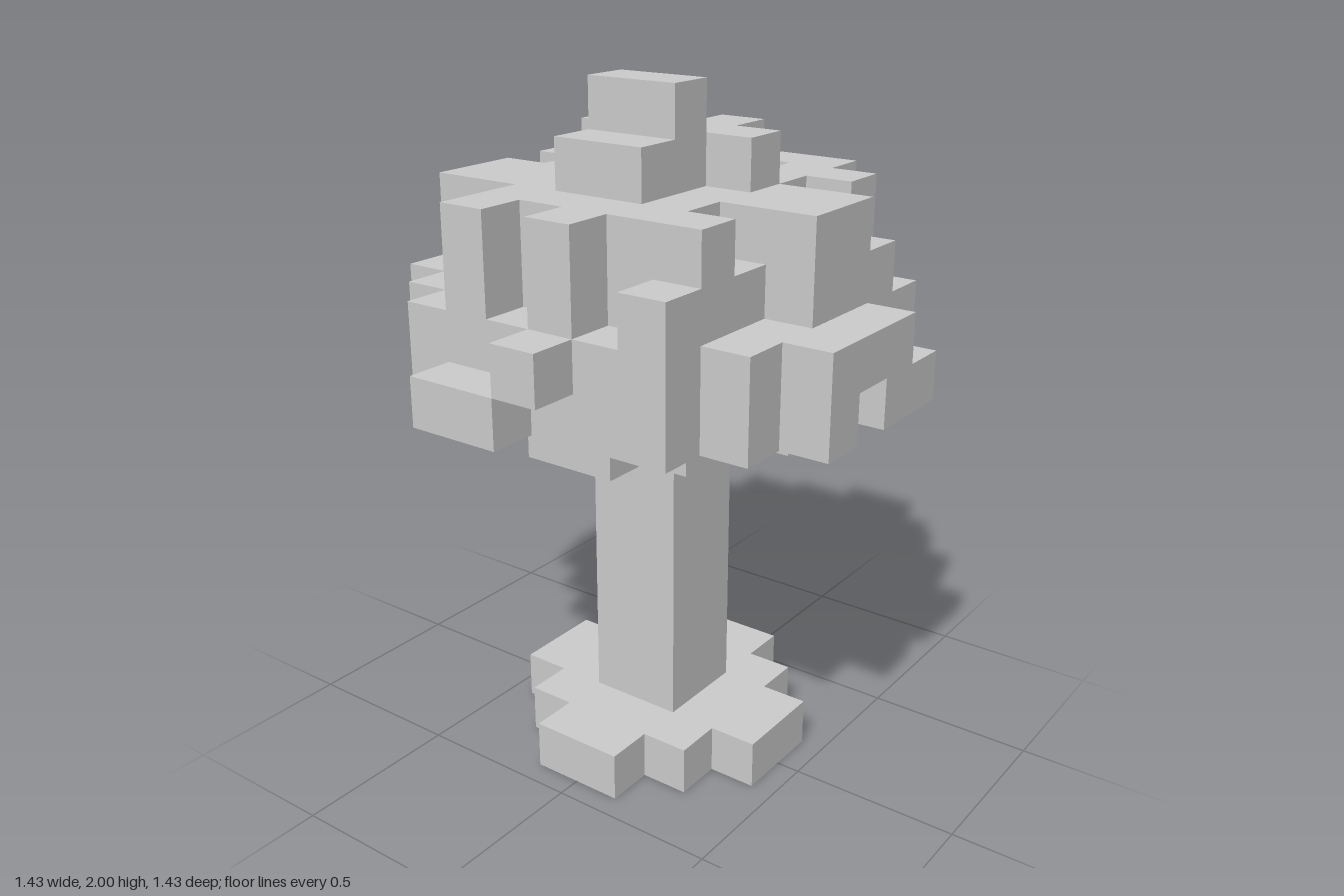
import * as THREE from 'three';

const U = 1 / 7; // edge of one block

// Plans of each layer: rows run from back (-z) to front (+z), columns from -x to +x
const base = [
  '', '', '....##....', '...####...', '..######..',
  '..######..', '...####...', '....##....', '', ''];

const trunk = ['', '', '', '', '....##....', '....##....', '', '', '', ''];

const canopy = [
  ['', '', '....##....', '...#####..', '..######..',
    '..#####...', '...###....', '.....##...', '', ''],
  ['...##.#...', '..######..', '.########.', '#########.', '##########',
    '.########.', '.#########', '.########.', '..######..', '...#.##...'],
  ['...#.##...', '..######..', '.#######..', '.#########', '.#########',
    '#########.', '.########.', '.########.', '..######..', '...###....'],
  ['', '...####...', '..######..', '.#######..', '..#######.',
    '.########.', '..#######.', '.#######..', '....###...', ''],
  ['', '...##.#...', '...#####..', '.#######..', '..######..',
    '.######.#.', '..#######.', '..#.##.#..', '....##....', ''],
  ['', '', '', '.....##...', '...###....',
    '...####...', '.....#....', '', '', ''],
  ['', '', '', '', '....#.....', '....#.....', '', '', '', '']];

// Builds the outer skin of a stack of layer plans
function blocks(name, layers, bottom, material) {
  const filled = (x, y, z) => layers[y]?.[z]?.[x] === '#';
  const pos = [], nor = [];
  const addFace = (c, axis, sign) => {
    const a = (axis + 1) % 3, b = (axis + 2) % 3;
    const corners = [[0, 0], [1, 0], [1, 1], [0, 1]].map(([s, t]) => {
      const p = [...c];
      p[axis] += sign > 0 ? 1 : 0;
      p[a] += s;
      p[b] += t;
      return [(p[0] - 5) * U, (p[1] + bottom) * U, (p[2] - 5) * U];
    });
    const n = [0, 0, 0];
    n[axis] = sign;
    for (const i of sign > 0 ? [0, 1, 2, 0, 2, 3] : [0, 2, 1, 0, 3, 2]) {
      pos.push(...corners[i]);
      nor.push(...n);
    }
  };
  for (let y = 0; y < layers.length; y++)
    for (let z = 0; z < 10; z++)
      for (let x = 0; x < 10; x++) {
        if (!filled(x, y, z)) continue;
        for (let axis = 0; axis < 3; axis++)
          for (const sign of [-1, 1]) {
            const n = [x, y, z];
            n[axis] += sign;
            if (!filled(...n)) addFace([x, y, z], axis, sign);
          }
      }
  const geo = new THREE.BufferGeometry();
  geo.setAttribute('position', new THREE.Float32BufferAttribute(pos, 3));
  geo.setAttribute('normal', new THREE.Float32BufferAttribute(nor, 3));
  const mesh = new THREE.Mesh(geo, material);
  mesh.name = name;
  return mesh;
}

export function createModel() {
  const group = new THREE.Group();
  group.name = 'blockTree';
  const grey = new THREE.MeshStandardMaterial({ color: 0xcccccc, flatShading: true });
  group.add(
    blocks('groundPatch', [base], 0, grey),
    blocks('trunk', Array(6).fill(trunk), 1, grey),
    blocks('canopy', canopy, 7, grey));
  return group;
}
